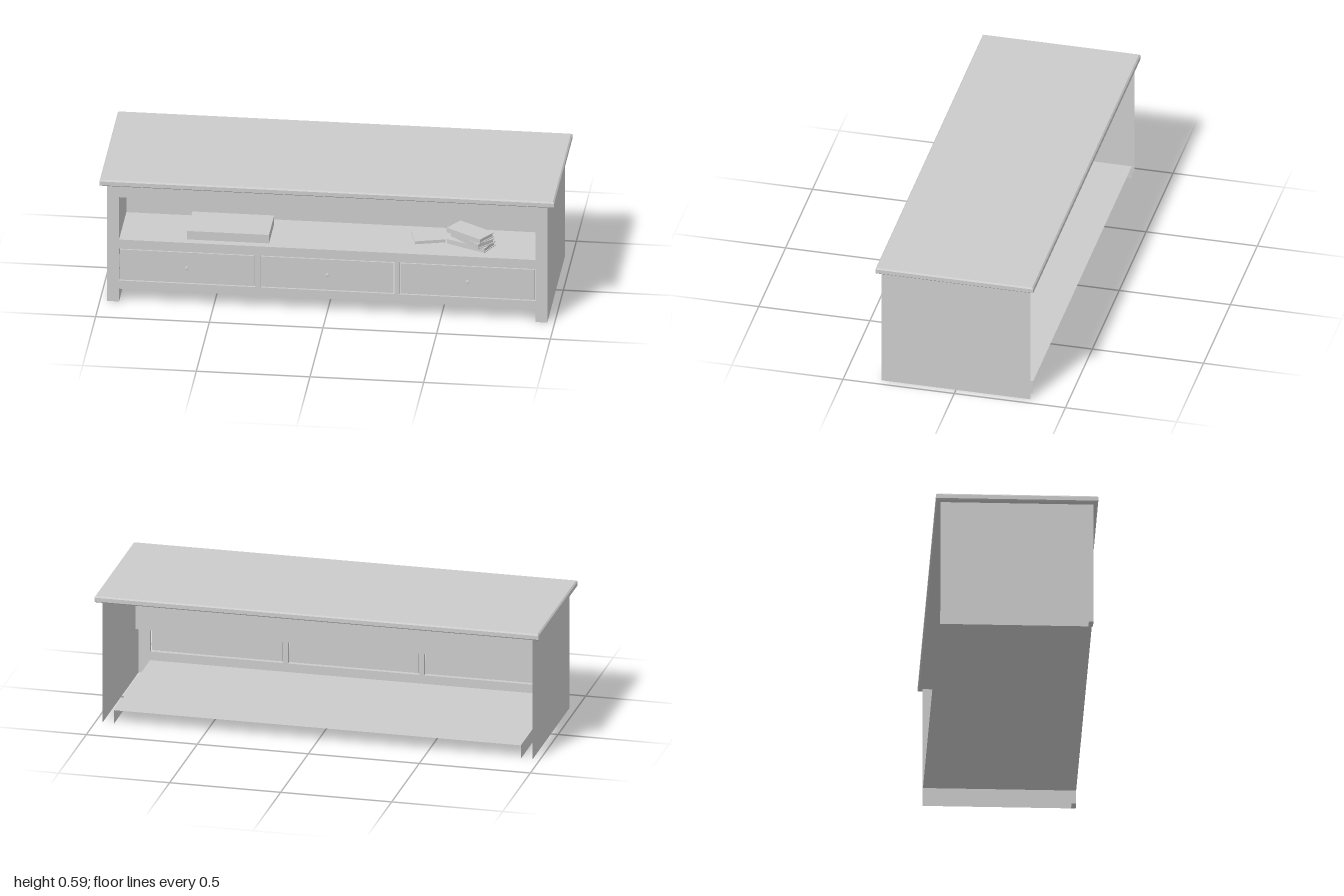
import * as THREE from 'three';

const grey = new THREE.MeshStandardMaterial({ color: 0xcccccc, flatShading: true, side: THREE.DoubleSide });

function add(parent, name, geometry, x = 0, y = 0, z = 0) {
  const mesh = new THREE.Mesh(geometry, grey);
  mesh.name = name;
  mesh.position.set(x, y, z);
  parent.add(mesh);
  return mesh;
}

// box given by its lower and upper corners
function box(parent, name, [x0, y0, z0], [x1, y1, z1]) {
  return add(parent, name, new THREE.BoxGeometry(x1 - x0, y1 - y0, z1 - z0),
    (x0 + x1) / 2, (y0 + y1) / 2, (z0 + z1) / 2);
}

// single-skin boards: upright facing x, flat facing y
function sideSheet(parent, name, x, y0, y1, z0, z1) {
  add(parent, name, new THREE.PlaneGeometry(z1 - z0, y1 - y0), x, (y0 + y1) / 2, (z0 + z1) / 2).rotation.y = Math.PI / 2;
}
function flatSheet(parent, name, y, halfX, z0, z1) {
  add(parent, name, new THREE.PlaneGeometry(halfX * 2, z1 - z0), 0, y, (z0 + z1) / 2).rotation.x = -Math.PI / 2;
}

function rectPath(x0, x1, y0, y1) {
  return new THREE.Path([[x0, y0], [x0, y1], [x1, y1], [x1, y0]].map(p => new THREE.Vector2(...p)));
}

// table top: rectangular rings stacked along a moulded edge profile of [half x, half z, y]
function topGeometry() {
  const profile = [[0.982, 0.338, 0.563], [0.994, 0.349, 0.563], [1, 0.355, 0.568],
    [1, 0.355, 0.586], [0.994, 0.349, 0.592]];
  const points = [], index = [];
  for (const [x, z, y] of profile) points.push(-x, y, z, x, y, z, x, y, -z, -x, y, -z);
  for (let r = 0; r < profile.length - 1; r++) {
    for (let i = 0; i < 4; i++) {
      const a = r * 4 + i, b = r * 4 + (i + 1) % 4;
      index.push(a, b, b + 4, a, b + 4, a + 4);
    }
  }
  const t = (profile.length - 1) * 4;
  index.push(0, 2, 1, 0, 3, 2, t, t + 1, t + 2, t, t + 2, t + 3);
  const g = new THREE.BufferGeometry();
  g.setAttribute('position', new THREE.Float32BufferAttribute(points, 3));
  g.setIndex(index);
  const flat = g.toNonIndexed();
  flat.computeVertexNormals();
  return flat;
}

// closed book: two covers, a spine and a page block
function book(name, x, y, z, length, width, height, angle) {
  const g = new THREE.Group();
  g.name = name;
  const l = length / 2, w = width / 2, c = height * 0.16;
  box(g, 'lowerCover', [-l, 0, -w], [l, c, w]);
  box(g, 'upperCover', [-l, height - c, -w], [l, height, w]);
  box(g, 'spine', [-l, c, w - 0.003], [l, height - c, w]);
  box(g, 'pages', [-l + 0.005, c, -w + 0.005], [l - 0.005, height - c, w - 0.003]);
  g.position.set(x, y, z);
  g.rotation.y = THREE.MathUtils.degToRad(angle);
  return g;
}

export function createModel() {
  const model = new THREE.Group();
  model.name = 'mediaConsole';
  const outer = 0.968, inner = 0.916, back = -0.335, front = 0.335;
  const nicheBack = 0.055, nicheLow = 0.3, nicheHigh = 0.505;
  const drawers = [[-inner, -0.318], [-0.295, 0.295], [0.318, inner]];

  add(model, 'top', topGeometry());

  // front frame with feet, niche opening and drawer openings
  const frame = new THREE.Shape([[-outer, 0], [-inner, 0], [-inner, 0.062], [inner, 0.062], [inner, 0],
    [outer, 0], [outer, 0.564], [-outer, 0.564]].map(p => new THREE.Vector2(...p)));
  frame.holes.push(rectPath(-inner, inner, nicheLow, nicheHigh));
  for (const [a, b] of drawers) frame.holes.push(rectPath(a, b, 0.102, 0.256));
  add(model, 'frontFrame', new THREE.ExtrudeGeometry(frame, { depth: 0.02, bevelEnabled: false }), 0, 0, front - 0.02);

  // open-backed carcass
  for (const s of [-1, 1]) {
    sideSheet(model, 'sidePanel', s * outer, 0, 0.564, back, front - 0.005);
    sideSheet(model, 'footSkirt', s * inner, 0, 0.062, back, front - 0.02);
    sideSheet(model, 'nicheSide', s * inner, nicheLow, nicheHigh, nicheBack, front - 0.02);
  }
  flatSheet(model, 'floor', 0.062, inner, back, front - 0.02);
  flatSheet(model, 'nicheShelf', nicheLow, inner, nicheBack, front - 0.02);
  flatSheet(model, 'nicheCeiling', nicheHigh, inner, nicheBack, front - 0.02);
  add(model, 'nicheBack', new THREE.PlaneGeometry(inner * 2, nicheHigh - nicheLow), 0, (nicheLow + nicheHigh) / 2, nicheBack);

  // drawer fronts with a narrow gap all round, and turned knobs
  const knob = new THREE.LatheGeometry([[0, 0], [0.008, 0], [0.008, 0.002], [0.004, 0.004], [0.004, 0.006],
    [0.008, 0.008], [0.008, 0.01], [0, 0.012]].map(p => new THREE.Vector2(...p)), 12);
  for (const [a, b] of drawers) {
    box(model, 'drawerFront', [a + 0.004, 0.106, 0.325], [b - 0.004, 0.252, 0.334]);
    add(model, 'drawerKnob', knob, (a + b) / 2, 0.179, 0.334).rotation.x = Math.PI / 2;
  }

  // things on the shelf
  box(model, 'playerBox', [-0.62, 0.302, 0.105], [-0.26, 0.343, 0.304]);
  model.add(
    book('looseBook', 0.425, 0.301, 0.165, 0.135, 0.115, 0.014, 15),
    book('bottomBook', 0.62, 0.301, 0.21, 0.19, 0.095, 0.022, -24),
    book('middleBook', 0.625, 0.324, 0.21, 0.18, 0.095, 0.023, -42),
    book('topBook', 0.615, 0.348, 0.21, 0.19, 0.095, 0.022, -33),
  );
  return model;
}
